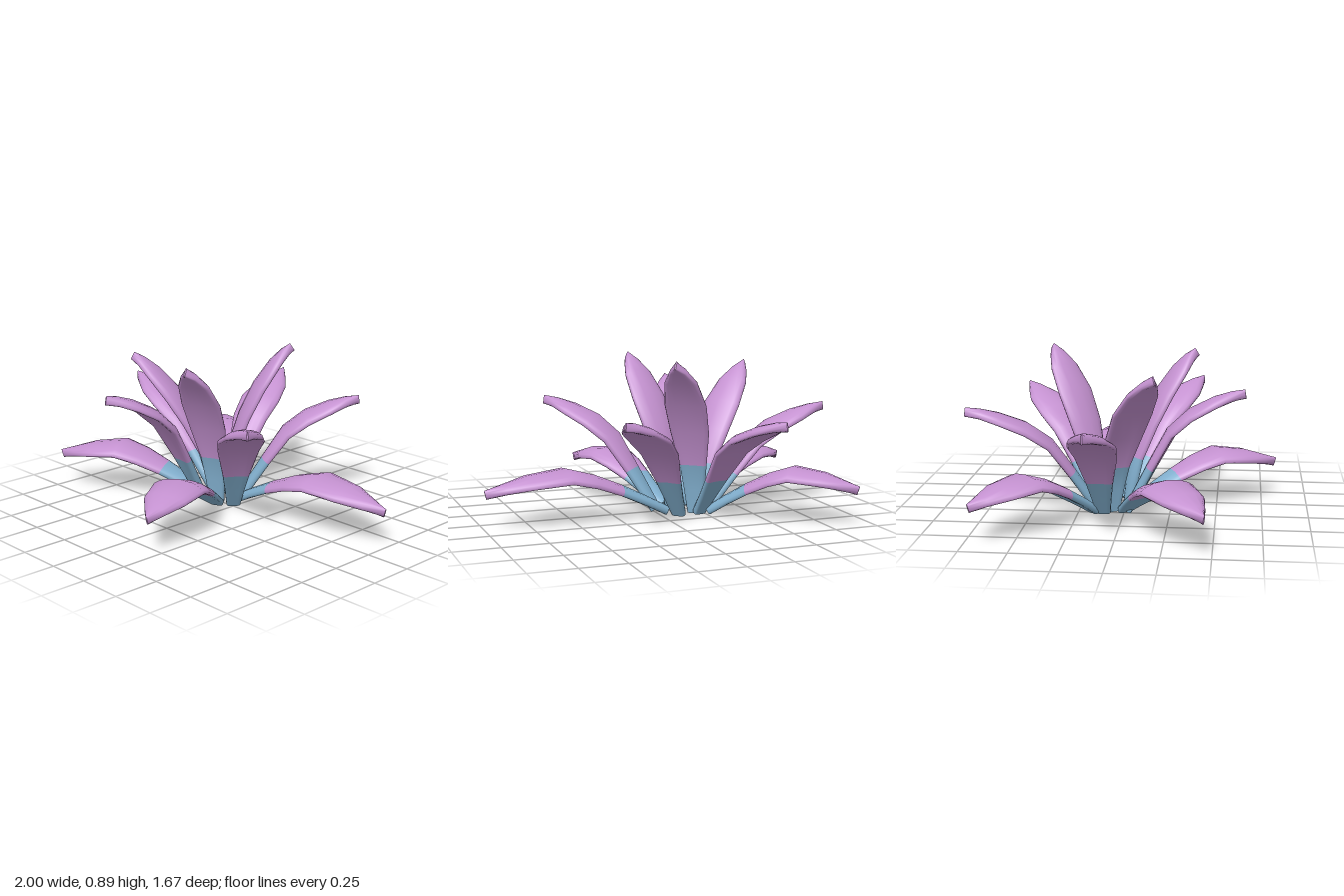
import * as THREE from 'three';

const petalPurple = new THREE.MeshStandardMaterial({ color: 0xc592d1 });
petalPurple.name = 'petal purple';
const stemBlue = new THREE.MeshStandardMaterial({ color: 0x82b0cf });
stemBlue.name = 'stem blue';

// Leaf profiles: [fraction of reach, height, half width]; blue ends at the third station
const profiles = {
  low: [[0, 0.028, 0.04], [0.13, 0.1, 0.068], [0.27, 0.172, 0.096], [0.42, 0.238, 0.13], [0.57, 0.283, 0.155],
    [0.77, 0.259, 0.122], [0.9, 0.224, 0.06], [1, 0.197, 0.004]],
  mid: [[0, 0.022, 0.04], [0.1, 0.125, 0.056], [0.2, 0.23, 0.075], [0.37, 0.4, 0.113], [0.55, 0.49, 0.128],
    [0.75, 0.545, 0.102], [0.89, 0.57, 0.052], [1, 0.58, 0.004]],
  high: [[0, 0.014, 0.043], [0.04, 0.15, 0.06], [0.1, 0.29, 0.078], [0.27, 0.48, 0.11], [0.48, 0.64, 0.118],
    [0.72, 0.765, 0.092], [0.88, 0.825, 0.048], [1, 0.855, 0.004]],
};

// name, profile, base x, base z, tip x, tip z, tip height
const leaves = [
  ['backRightLowLeaf', 'low', -0.27, -0.16, -0.9, -0.715, 0.197],
  ['leftLowLeaf', 'low', -0.04, -0.08, 0.995, -0.13, 0.197],
  ['frontRightLowLeaf', 'low', -0.24, 0, -0.99, 0.46, 0.197],
  ['frontLeftLowLeaf', 'low', -0.08, 0.05, 0.225, 0.825, 0.197],
  ['backMidLeaf', 'mid', -0.21, -0.15, -0.41, -0.835, 0.585],
  ['backLeftMidLeaf', 'mid', -0.09, -0.16, 0.385, -0.625, 0.595],
  ['rightMidLeaf', 'mid', -0.27, -0.11, -0.99, -0.13, 0.58],
  ['frontMidLeaf', 'mid', -0.24, 0.02, -0.31, 0.65, 0.69],
  ['frontLeftMidLeaf', 'mid', -0.01, -0.01, 0.525, 0.405, 0.62],
  ['backHighLeaf', 'high', -0.2, -0.13, 0.04, -0.43, 0.875],
  ['rightHighLeaf', 'high', -0.23, -0.07, -0.64, 0.19, 0.81],
  ['frontHighLeaf', 'high', -0.12, 0.01, 0.03, 0.38, 0.86],
];

const SIDES = 16;
const HALF_THICK = 0.025;
const power = (v, e) => Math.sign(v) * Math.abs(v) ** e;

// Sweeps a rounded, slightly arched slab along the leaf's curve
function leafGeometry(profile, bx, bz, tx, tz, tipY) {
  const baseY = profile[0][1];
  const scale = (tipY - baseY) / (profile.at(-1)[1] - baseY);
  const path = profile.map(([u, y]) => new THREE.Vector3(
    bx + (tx - bx) * u, baseY + (y - baseY) * scale, bz + (tz - bz) * u));
  const side = new THREE.Vector3(tz - bz, 0, bx - tx).normalize();
  const positions = [];
  const rings = [];
  const last = path.length - 1;

  path.forEach((p, j) => {
    const tangent = path[Math.min(j + 1, last)].clone().sub(path[Math.max(j - 1, 0)]).normalize();
    const normal = tangent.clone().cross(side);
    const half = profile[j][2];
    const ring = [];
    for (let i = 0; i < SIDES; i++) {
      const a = (i / SIDES) * Math.PI * 2;
      const s = power(Math.cos(a), 0.75);
      const h = HALF_THICK * power(Math.sin(a), 0.75) - half * 0.2 * s * s;
      ring.push(p.clone().addScaledVector(side, half * s).addScaledVector(normal, h));
    }
    rings.push(ring);
    ring.forEach((v) => positions.push(v.x, v.y, v.z));
  });

  const index = [];
  // End cap with its own vertices, so its rim stays sharp
  const cap = (j, flip) => {
    const start = positions.length / 3;
    rings[j].forEach((v) => positions.push(v.x, v.y, v.z));
    for (let i = 1; i < SIDES - 1; i++) {
      index.push(start, start + (flip ? i + 1 : i), start + (flip ? i : i + 1));
    }
  };

  cap(0, true);
  let blueCount = 0;
  for (let j = 0; j < last; j++) {
    if (j === 2) blueCount = index.length;
    for (let i = 0; i < SIDES; i++) {
      const k = (i + 1) % SIDES;
      const a = j * SIDES + i, b = j * SIDES + k;
      index.push(a, b, a + SIDES, b, b + SIDES, a + SIDES);
    }
  }
  cap(last, false);

  const geometry = new THREE.BufferGeometry();
  geometry.setAttribute('position', new THREE.Float32BufferAttribute(positions, 3));
  geometry.setIndex(index);
  geometry.addGroup(0, blueCount, 0);
  geometry.addGroup(blueCount, index.length - blueCount, 1);
  geometry.computeVertexNormals();
  return geometry;
}

export function createModel() {
  const plant = new THREE.Group();
  plant.name = 'plant';
  for (const [name, kind, ...ends] of leaves) {
    const leaf = new THREE.Mesh(leafGeometry(profiles[kind], ...ends), [stemBlue, petalPurple]);
    leaf.name = name;
    plant.add(leaf);
  }
  return plant;
}
